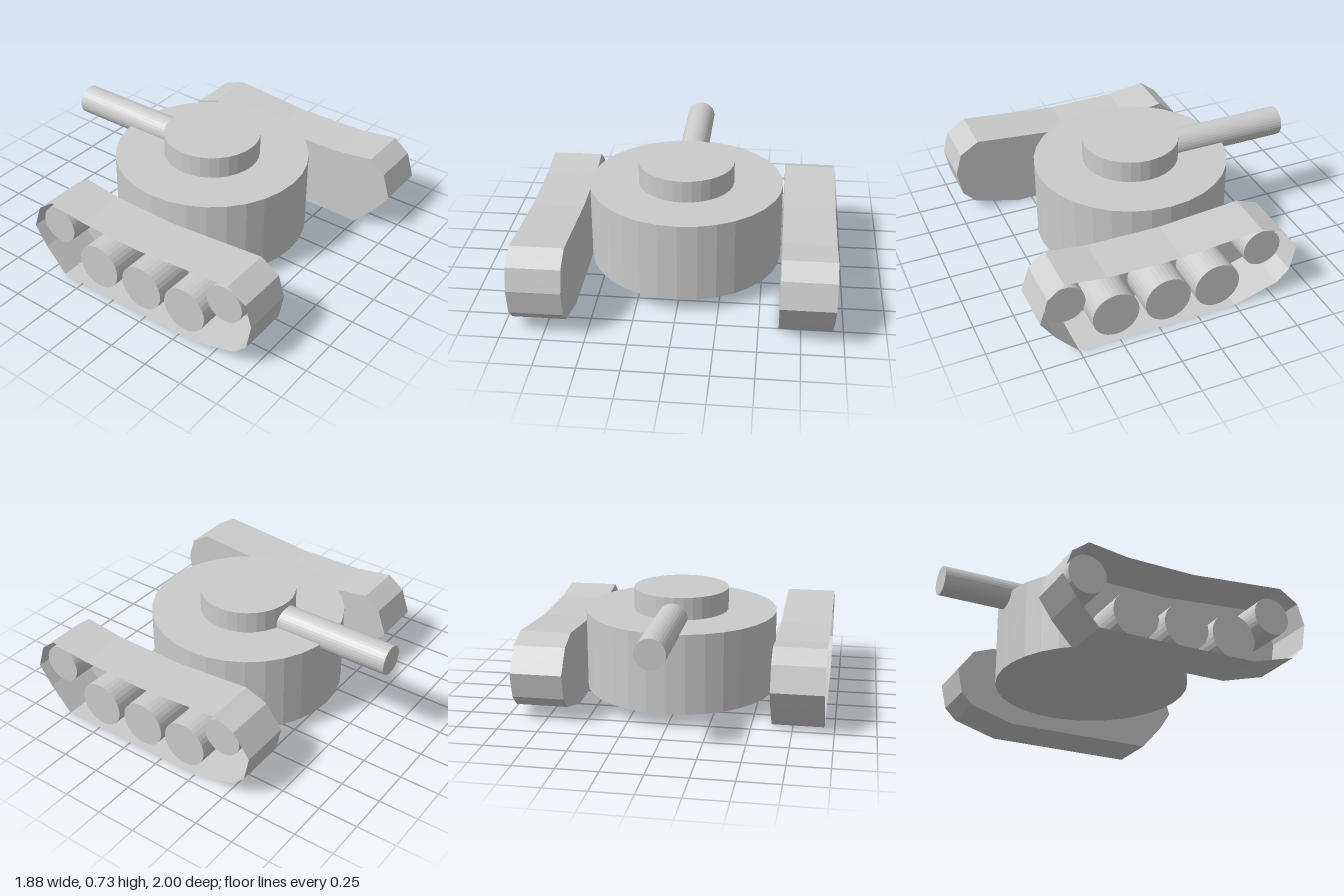
import * as THREE from 'three';

const metal = new THREE.MeshStandardMaterial({ color: 0xcccccc, flatShading: true });
const sheet = new THREE.MeshStandardMaterial({ color: 0xcccccc, flatShading: true, side: THREE.DoubleSide });

function part(name, geometry, x, y, z, material = metal) {
  const mesh = new THREE.Mesh(geometry, material);
  mesh.name = name;
  mesh.position.set(x, y, z);
  return mesh;
}

// Thin band swept along x around a closed [z, y] outline
function bandGeometry(outline, x0, x1) {
  const pos = [];
  outline.forEach(([za, ya], i) => {
    const [zb, yb] = outline[(i + 1) % outline.length];
    pos.push(x0, ya, za, x1, ya, za, x1, yb, zb);
    pos.push(x0, ya, za, x1, yb, zb, x0, yb, zb);
  });
  const g = new THREE.BufferGeometry();
  g.setAttribute('position', new THREE.Float32BufferAttribute(pos, 3));
  g.computeVertexNormals();
  return g;
}

// Flat plate filling the outline, lying in the plane x = 0
function plateGeometry(outline) {
  const shape = new THREE.Shape(outline.map(([z, y]) => new THREE.Vector2(-z, y)));
  return new THREE.ShapeGeometry(shape).rotateY(Math.PI / 2);
}

// Track outlines as [z, y], clockwise from the lower front
const leftOutline = [
  [0.75, 0], [0.89, 0.155], [0.975, 0.28], [0.925, 0.435], [0.825, 0.515], [0.57, 0.48], [0.11, 0.475],
  [-0.40, 0.517], [-0.54, 0.465], [-0.645, 0.32], [-0.61, 0.16], [-0.535, 0.085], [-0.25, 0],
];
const rightOutline = [
  [0.605, 0], [0.89, 0.08], [0.97, 0.16], [1.0, 0.32], [0.96, 0.455], [0.84, 0.53], [0.22, 0.475],
  [-0.215, 0.48], [-0.46, 0.515], [-0.565, 0.435], [-0.62, 0.28], [-0.54, 0.155], [-0.40, 0],
];

// Wheels as [z, y, radius]
const wheels = [
  [0.81, 0.335, 0.12], [0.505, 0.155, 0.145], [0.175, 0.155, 0.145], [-0.145, 0.155, 0.145], [-0.43, 0.35, 0.12],
];

// Belt open on its outer side, closed by a plate on the inner side
function makeTrack(name, side, outline) {
  const track = new THREE.Group();
  track.name = name;
  track.add(part('belt', bandGeometry(outline, side * 0.62, side * 0.94), 0, 0, 0, sheet));
  track.add(part('innerPlate', plateGeometry(outline), side * 0.62, 0, 0, sheet));
  for (const [z, y, r] of wheels) {
    const geometry = new THREE.CylinderGeometry(r, r, 0.27, 32).rotateZ(Math.PI / 2);
    track.add(part('wheel', geometry, side * 0.765, y, side > 0 ? z : 0.36 - z));
  }
  return track;
}

export function createModel() {
  const model = new THREE.Group();
  model.name = 'tank';

  // Round body and turret
  model.add(part('hull', new THREE.CylinderGeometry(0.605, 0.605, 0.5, 32), 0.005, 0.34, 0.03));
  model.add(part('turret', new THREE.CylinderGeometry(0.3, 0.3, 0.14, 32), 0.005, 0.66, 0.03));

  // Gun reaching out to the rear
  const gun = new THREE.CylinderGeometry(0.092, 0.092, 0.76, 32).rotateX(Math.PI / 2);
  model.add(part('gunBarrel', gun, 0.012, 0.603, -0.62));

  model.add(makeTrack('leftTrack', 1, leftOutline));
  model.add(makeTrack('rightTrack', -1, rightOutline));
  return model;
}
